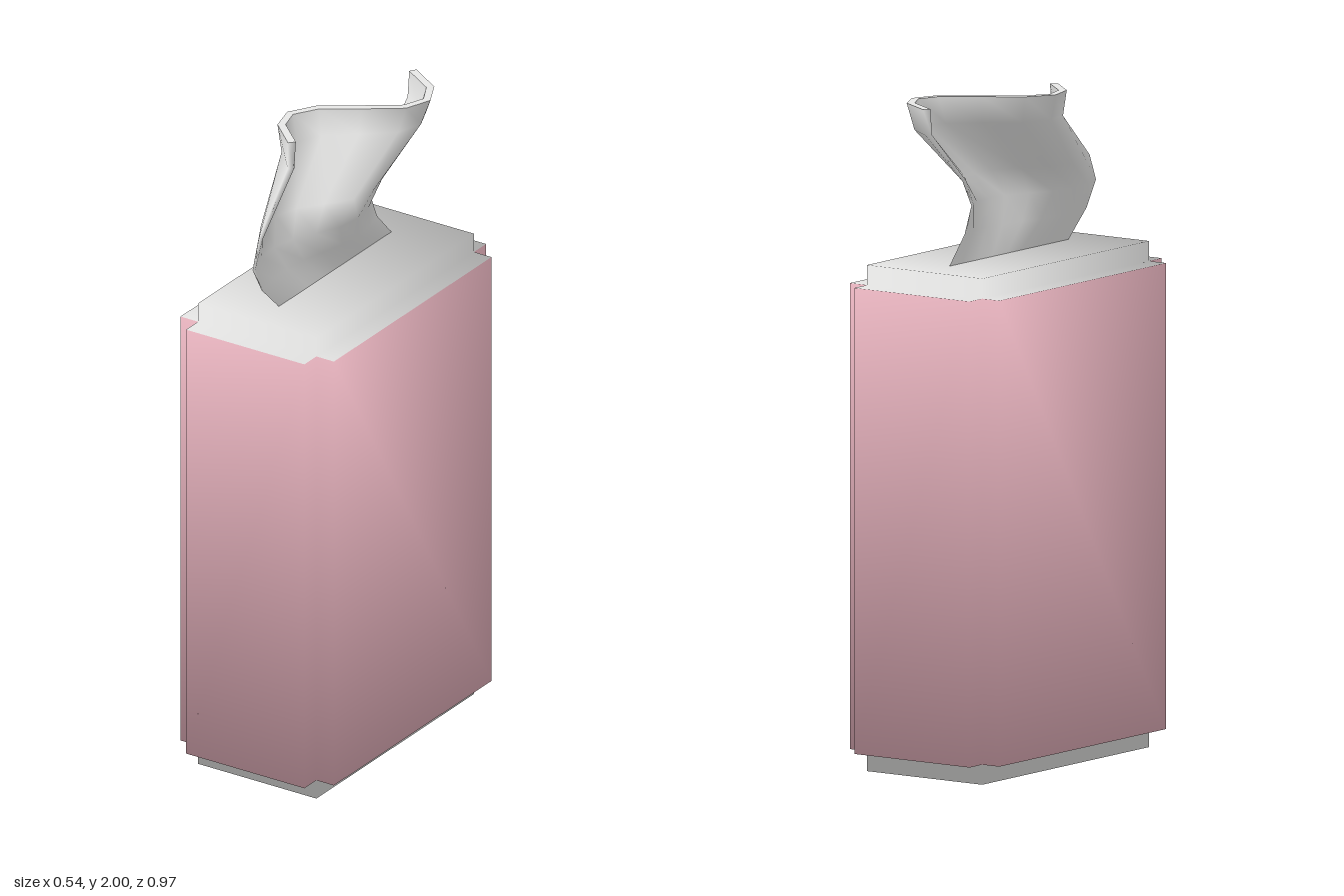
import * as THREE from 'three';

const white = new THREE.MeshStandardMaterial({ color: 0xe7e7e6 });
white.name = 'tissueWhite';
const pink = new THREE.MeshStandardMaterial({ color: 0xe7b3be });
pink.name = 'softPink';
const sheetWhite = white;

// Each face of an inner block is pushed out on its own, leaving notched edges.
// All corner normals point along the diagonal, giving soft shading.
function boxParts() {
  const inner = [0.21, 0.6975, 0.42];
  const outer = [0.272, 0.7575, 0.484];
  const centreY = 0.7575;
  const lists = { white: { p: [], n: [] }, pink: { p: [], n: [] } };
  const quad = (list, q) => {
    for (const i of [0, 1, 2, 0, 2, 3]) {
      list.p.push(q[i].pos[0], q[i].pos[1] + centreY, q[i].pos[2]);
      list.n.push(...q[i].sign.map((s) => s / Math.sqrt(3)));
    }
  };
  for (let a = 0; a < 3; a++) {
    const b = (a + 1) % 3, c = (a + 2) % 3;
    for (const s of [1, -1]) {
      const loop = [[-1, -1], [1, -1], [1, 1], [-1, 1]];
      if (s < 0) loop.reverse();
      const corners = loop.map(([sb, sc]) => {
        const sign = [];
        sign[a] = s; sign[b] = sb; sign[c] = sc;
        const low = sign.map((v, i) => v * inner[i]);
        const high = low.slice();
        high[a] = s * outer[a];
        return { low: { pos: low, sign }, high: { pos: high, sign } };
      });
      quad(a === 1 ? lists.white : lists.pink, corners.map((k) => k.high));
      for (let i = 0; i < 4; i++) {
        const k = corners[i], m = corners[(i + 1) % 4];
        const facesY = a !== 1 && k.low.sign[1] === m.low.sign[1];
        quad(a === 1 || facesY ? lists.white : lists.pink, [k.low, m.low, m.high, k.high]);
      }
    }
  }
  return lists;
}

function boxMesh(list, material, name) {
  const g = new THREE.BufferGeometry();
  g.setAttribute('position', new THREE.Float32BufferAttribute(list.p, 3));
  g.setAttribute('normal', new THREE.Float32BufferAttribute(list.n, 3));
  const mesh = new THREE.Mesh(g, material);
  mesh.name = name;
  return mesh;
}

// Wavy sheet: an S curve at the rim that flattens to a line in the slot.
function tissueGeometries() {
  const path = [[0.0, -0.41], [0.105, -0.345], [0.143, -0.27], [0.115, -0.195], [0.01, -0.12],
    [-0.095, -0.05], [-0.143, 0.03], [-0.122, 0.107], [-0.03, 0.19]];
  // height and sideways drift of each row
  const rows = [[1.515, 0.115], [1.6, 0.195], [1.68, 0.232], [1.76, 0.19], [1.92, 0.012], [2, 0]];
  const half = 0.012, n = path.length;
  const side = (dir) => path.map((p, i) => {
    const u = path[Math.max(i - 1, 0)], v = path[Math.min(i + 1, n - 1)];
    const dx = v[0] - u[0], dz = v[1] - u[1], len = Math.hypot(dx, dz);
    return { x: p[0], z: p[1], ox: dir * half * dz / len, oz: -dir * half * dx / len };
  });
  const ring = [...side(1), ...side(-1).reverse()], m = ring.length;
  const pos = [], index = [];
  rows.forEach(([y, drift], r) => {
    const t = (y - 1.515) / 0.485;
    for (const k of ring) pos.push((k.x + k.ox) * t, y, k.z + k.oz * t + drift);
    if (r === 0) return;
    for (let i = 0; i < m; i++) {
      const j = (i + 1) % m, lo = (r - 1) * m, hi = r * m;
      index.push(lo + i, hi + i, hi + j, lo + i, hi + j, lo + j);
    }
  });
  const sheet = new THREE.BufferGeometry();
  sheet.setAttribute('position', new THREE.Float32BufferAttribute(pos, 3));
  sheet.setIndex(index);
  sheet.computeVertexNormals();

  // flat rim closing the top
  const rimIndex = [];
  for (let i = 0; i < n - 1; i++) {
    const b0 = m - 1 - i, b1 = m - 2 - i;
    rimIndex.push(b0, b1, i + 1, b0, i + 1, i);
  }
  const rim = new THREE.BufferGeometry();
  rim.setAttribute('position', new THREE.Float32BufferAttribute(pos.slice(-m * 3), 3));
  rim.setIndex(rimIndex);
  rim.computeVertexNormals();
  return { sheet, rim };
}

export function createModel() {
  const model = new THREE.Group();
  model.name = 'tissueBox';

  const parts = boxParts();
  model.add(boxMesh(parts.pink, pink, 'boxSides'));
  model.add(boxMesh(parts.white, white, 'boxTopAndBottom'));

  const tissue = new THREE.Group();
  tissue.name = 'tissue';
  const { sheet, rim } = tissueGeometries();
  const sheetMesh = new THREE.Mesh(sheet, sheetWhite);
  sheetMesh.name = 'tissueSheet';
  const rimMesh = new THREE.Mesh(rim, sheetWhite);
  rimMesh.name = 'tissueRim';
  tissue.add(sheetMesh, rimMesh);
  model.add(tissue);
  return model;
}
